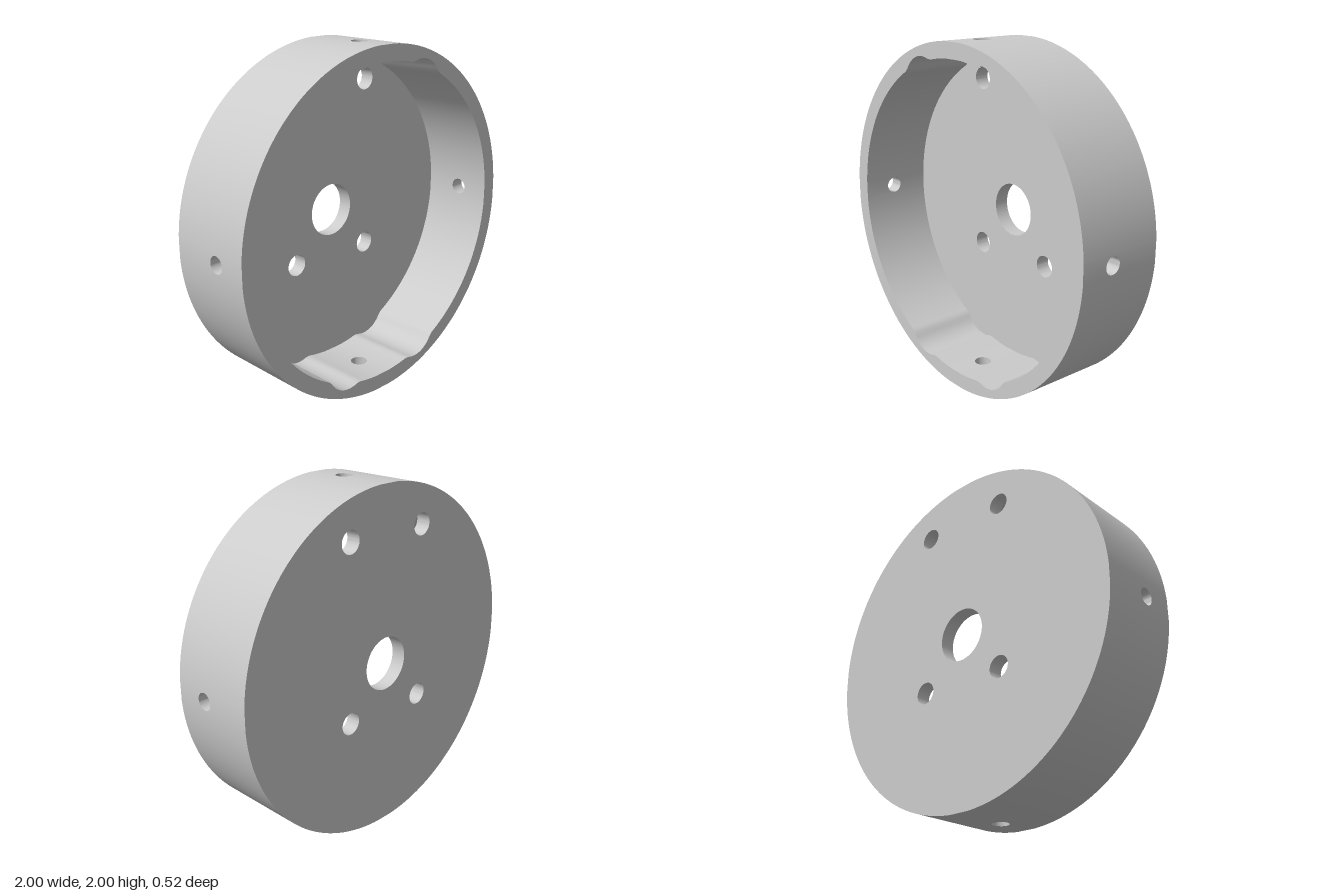
import * as THREE from 'three';
import { toCreasedNormals } from 'three/addons/utils/BufferGeometryUtils.js';

const R = 1, INNER = 0.909, HALF = 0.26, FLOOR = 0.087;
const PATCH = 0.06;                 // half angle of each drilled wall block
const HOLE_R = 0.048, HOLE_Z = 0.057;
const SEG = 56;

// Inner wall radius: a circle blended with four round reliefs near the bolt holes
function innerRadius(a) {
  const d = 0.79, rho = 0.16, k = 0.012;
  const fromVertical = Math.atan2(Math.abs(Math.cos(a)), Math.abs(Math.sin(a)));
  const delta = fromVertical - 0.358;
  const s = rho * rho - (d * Math.sin(delta)) ** 2;
  if (s <= 0) return INNER;
  const relief = d * Math.cos(delta) + Math.sqrt(s);
  const h = Math.max(k - Math.abs(relief - INNER), 0);
  return Math.max(relief, INNER) + (h * h) / (4 * k);
}

const polar = (r, a) => new THREE.Vector2(r * Math.cos(a), r * Math.sin(a));

function circlePath(x, y, r, segments = 48) {
  const pts = [];
  for (let i = 0; i < segments; i++) {
    pts.push(polar(r, (-i / segments) * Math.PI * 2).add(new THREE.Vector2(x, y)));
  }
  return new THREE.Path(pts);
}

function extrude(shape, depth) {
  const g = new THREE.ExtrudeGeometry(shape, { depth, bevelEnabled: false, curveSegments: 1 });
  g.translate(0, 0, -HALF);
  return toCreasedNormals(g, 0.5);
}

// Angles sampled along the wall between two drilled blocks
function sectorAngles(q) {
  const start = q * Math.PI / 2 + PATCH, span = Math.PI / 2 - 2 * PATCH;
  return Array.from({ length: SEG + 1 }, (_, i) => start + (span * i) / SEG);
}

// Wall block with a radial hole: a drilled slab bent around the axis
function drilledBlock(angle) {
  const shape = new THREE.Shape([
    new THREE.Vector2(-PATCH, -HALF), new THREE.Vector2(PATCH, -HALF),
    new THREE.Vector2(PATCH, HALF), new THREE.Vector2(-PATCH, HALF),
  ]);
  shape.holes.push(circlePath(0, HOLE_Z, HOLE_R, 32));
  const g = toCreasedNormals(
    new THREE.ExtrudeGeometry(shape, { depth: R - INNER, bevelEnabled: false }), 0.5);
  const p = g.attributes.position, n = g.attributes.normal;
  for (let i = 0; i < p.count; i++) {
    const s = p.getX(i), z = p.getY(i), r = INNER + p.getZ(i);
    const a = angle + (Math.abs(s) < 0.05 ? s / r : s);
    const c = Math.cos(a), sn = Math.sin(a);
    const nt = n.getX(i), nz = n.getY(i), nr = n.getZ(i);
    p.setXYZ(i, r * c, r * sn, z);
    n.setXYZ(i, nr * c - nt * sn, nr * sn + nt * c, nz);
  }
  return g;
}

export function createModel() {
  const model = new THREE.Group();
  model.name = 'hubCup';
  const body = new THREE.Group();
  body.name = 'body';
  body.position.y = R;
  model.add(body);

  const material = new THREE.MeshStandardMaterial({ color: 0xcccccc });
  const add = (name, geometry) => {
    const mesh = new THREE.Mesh(geometry, material);
    mesh.name = name;
    body.add(mesh);
  };

  // Wall: four plain sectors joined by four drilled blocks
  const floorOutline = [];
  for (let q = 0; q < 4; q++) {
    const angles = sectorAngles(q);
    const inner = angles.map((a) => polar(innerRadius(a), a));
    const outer = angles.map((a) => polar(R, a));
    floorOutline.push(...inner);
    add('wallSector' + (q + 1), extrude(new THREE.Shape([...outer, ...inner.slice().reverse()]), 2 * HALF));
    add('drilledWall' + (q + 1), drilledBlock(q * Math.PI / 2));
  }

  // Floor at the back with the centre bore and four bolt holes
  const floor = new THREE.Shape(floorOutline);
  floor.holes.push(circlePath(0, 0, 0.155, 64));
  for (const x of [-0.277, 0.277]) {
    for (const y of [0.739, -0.275]) floor.holes.push(circlePath(x, y, 0.064));
  }
  add('floor', extrude(floor, FLOOR));

  return model;
}
